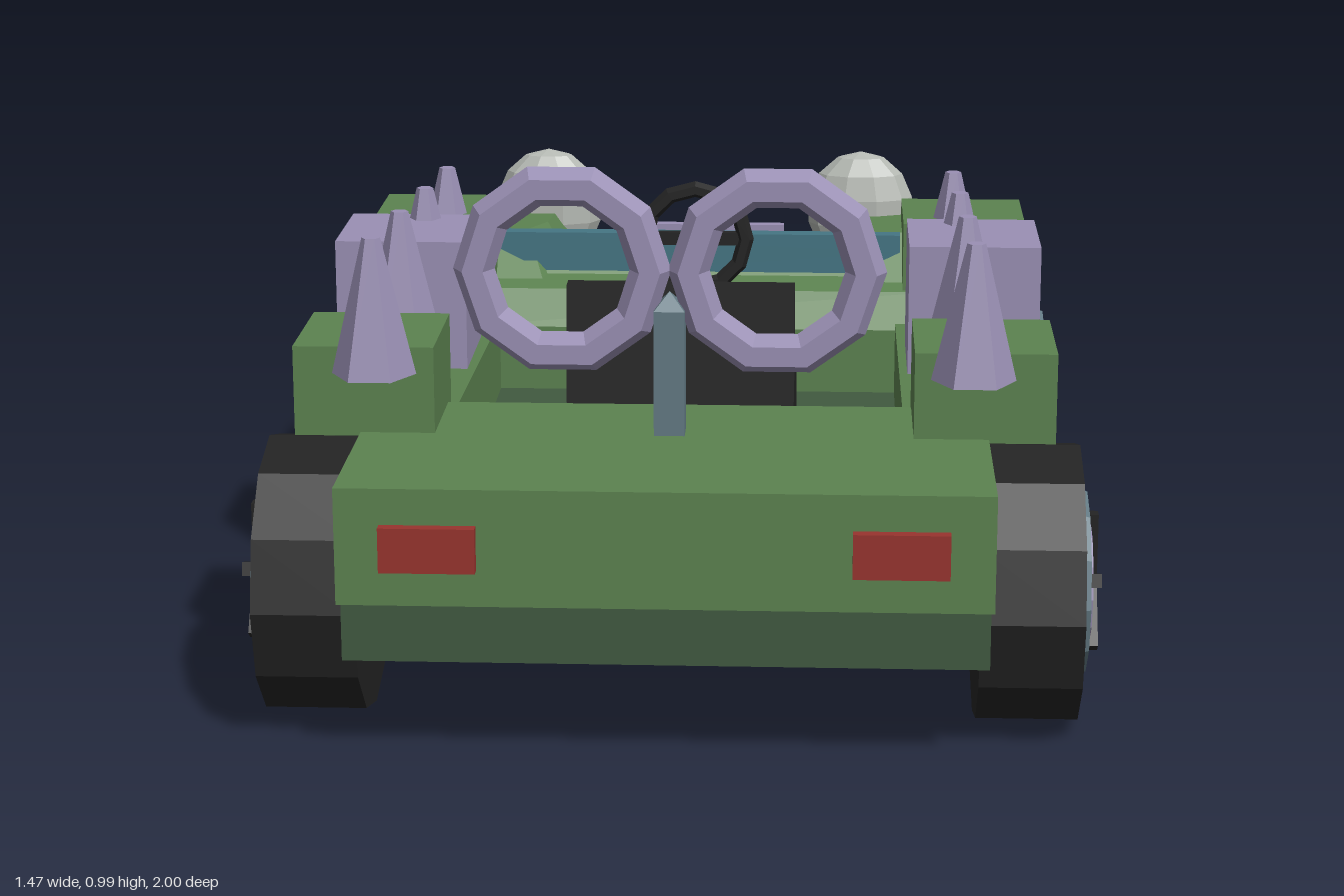
import * as THREE from 'three';
import { ConvexGeometry } from 'three/addons/geometries/ConvexGeometry.js';

const mat = (name, color) => {
  const m = new THREE.MeshStandardMaterial({ color, flatShading: true });
  m.name = name;
  return m;
};
const green = mat('bodyGreen', 0x5c8250);
const darkGreen = mat('trayGreen', 0x415a40);
const black = mat('rubberBlack', 0x232323);
const slate = mat('slateMetal', 0x637a84);
const lilac = mat('lilacMetal', 0x9a90b4);
const white = mat('eyeWhite', 0xb4b8b2);
const blue = mat('glassBlue', 0x457684);
const red = mat('tailRed', 0x98342e);

export function createModel() {
  const root = new THREE.Group();
  root.name = 'buggy';

  const add = (name, geo, material, parent = root) => {
    const mesh = new THREE.Mesh(geo, material);
    mesh.name = name;
    parent.add(mesh);
    return mesh;
  };
  // box from its lower and upper limits on each axis
  const box = (name, material, x0, x1, y0, y1, z0, z1) =>
    add(name, new THREE.BoxGeometry(x1 - x0, y1 - y0, z1 - z0)
      .translate((x0 + x1) / 2, (y0 + y1) / 2, (z0 + z1) / 2), material);
  // side profile of [z, y] points extruded across x
  const profile = (name, material, pts, x0, x1) => {
    const shape = new THREE.Shape(pts.map(([z, y]) => new THREE.Vector2(z, y)));
    const geo = new THREE.ExtrudeGeometry(shape, { depth: x1 - x0, bevelEnabled: false });
    return add(name, geo.rotateY(-Math.PI / 2).translate(x1, 0, 0), material);
  };

  // chassis and body
  box('tray', darkGreen, -0.54, 0.54, 0.18, 0.3, -0.88, 0.96);
  box('rearDeck', green, -0.545, 0.545, 0.285, 0.487, 0.45, 0.98);
  profile('hood', green, [[-0.32, 0.29], [-0.32, 0.43], [-0.36, 0.5], [-0.43, 0.515], [-0.47, 0.56],
    [-0.6, 0.56], [-0.86, 0.5], [-0.935, 0.46], [-0.97, 0.3], [-0.9, 0.29]], -0.47, 0.47);

  // windscreen strip, wider at the top
  const glass = new THREE.Shape([[-0.3, 0.51], [0.3, 0.51], [0.41, 0.565], [0.41, 0.6], [-0.41, 0.6], [-0.41, 0.565]]
    .map(([x, y]) => new THREE.Vector2(x, y)));
  add('windscreen', new THREE.ExtrudeGeometry(glass, { depth: 0.035, bevelEnabled: false })
    .translate(0, 0, -0.47), blue);

  // bumper and nose bar
  box('bumper', slate, -0.565, 0.565, 0.22, 0.3, -1, -0.925);
  box('noseBar', lilac, -0.165, 0.165, 0.455, 0.5, -0.995, -0.97);

  // seat
  box('seatCushion', black, -0.205, 0.205, 0.3, 0.485, -0.055, 0.4);
  profile('seatBack', black, [[0.32, 0.47], [0.41, 0.47], [0.395, 0.69], [0.35, 0.69]], -0.205, 0.205);
  const pad = add('seatPad', new THREE.BoxGeometry(0.32, 0.15, 0.008), darkGreen);
  pad.position.set(0, 0.582, 0.333);
  pad.rotation.x = 0.135;

  // steering wheel and column
  add('steeringWheel', new THREE.TorusGeometry(0.1, 0.016, 6, 12), black).position.set(0, 0.635, -0.24);
  box('steeringSpoke', black, -0.1, 0.1, 0.622, 0.648, -0.25, -0.235);
  const column = add('steeringColumn', new THREE.BoxGeometry(0.025, 0.2, 0.025), slate);
  column.position.set(0, 0.555, -0.3);
  column.rotation.x = 0.6;

  // square post with a short pointed tip, holding the twin rings
  const post = [new THREE.Vector3(0, 0.775, 0.772)];
  for (const x of [-0.026, 0.026])
    for (const y of [0.53, 0.745])
      for (const z of [0.746, 0.798]) post.push(new THREE.Vector3(x, y, z));
  add('ringPost', new ConvexGeometry(post), slate);

  // fender outline in [x, z] and its stacked [height, scale] levels
  const fenderOutline = [[0.61, -0.58], [0.585, -0.75], [0.5, -0.915], [0.38, -0.915],
    [0.27, -0.8], [0.235, -0.65], [0.25, -0.5], [0.31, -0.38], [0.55, -0.38]];
  const fenderLevels = [[0.36, 0.85], [0.43, 1], [0.49, 0.98], [0.595, 0.58]];
  // spike [z, base height]
  const spikes = [[0.675, 0.6], [0.305, 0.565], [-0.065, 0.53], [-0.43, 0.495]];

  for (const s of [1, -1]) {
    const side = s > 0 ? 'left' : 'right';
    const sideBox = (name, m, x0, x1, ...r) =>
      box(side + name, m, Math.min(s * x0, s * x1), Math.max(s * x0, s * x1), ...r);

    profile(side + 'Sill', green, [[0.46, 0.285], [0.46, 0.478], [-0.37, 0.44], [-0.86, 0.42], [-0.88, 0.285]],
      s > 0 ? 0.4 : -0.55, s > 0 ? 0.55 : -0.4);

    // bulging front fender
    const pts = fenderLevels.flatMap(([y, k]) => fenderOutline.map(([x, z]) =>
      new THREE.Vector3(s * (0.42 + (x - 0.42) * k), y, -0.64 + (z + 0.64) * k)));
    add(side + 'Fender', new ConvexGeometry(pts), green);

    // blocks above the wheels and beside the cabin
    sideBox('FrontBlock', green, 0.415, 0.66, 0.395, 0.64, -0.61, -0.367);
    sideBox('RearBlock', green, 0.415, 0.66, 0.395, 0.64, 0.407, 0.65);
    sideBox('MetalCube', lilac, 0.415, 0.66, 0.465, 0.71, -0.1, 0.142);

    // lamps
    sideBox('Headlamp', white, 0.31, 0.47, 0.35, 0.42, -1, -0.945);
    sideBox('TailLamp', red, 0.31, 0.47, 0.348, 0.425, 0.975, 1);

    // spikes
    for (const [z, y] of spikes)
      add(side + 'Spike', new THREE.CylinderGeometry(0.016, 0.073, 0.24, 6)
        .rotateY(Math.PI / 6).translate(s * 0.515, y + 0.12, z), lilac);

    // eyes
    add(side + 'Eye', new THREE.SphereGeometry(1, 10, 7).scale(0.112, 0.125, 0.062)
      .translate(s * 0.33, 0.598, -0.695), white);
    add(side + 'Pupil', new THREE.SphereGeometry(1, 8, 6).scale(0.046, 0.054, 0.035)
      .translate(s * 0.335, 0.622, -0.748), black);

    // ring
    add(side + 'Ring', new THREE.TorusGeometry(0.148, 0.035, 6, 10)
      .translate(s * 0.18, 0.812, 0.775), lilac);

    // wheels
    for (const z of [0.675, -0.6]) {
      const wheel = new THREE.Group();
      wheel.name = side + (z < 0 ? 'FrontWheel' : 'RearWheel');
      wheel.position.set(s * 0.6125, 0.2435, z);
      wheel.rotation.y = s > 0 ? 0 : Math.PI;
      root.add(wheel);
      const disc = (name, m, r0, r1, x0, x1) =>
        add(name, new THREE.CylinderGeometry(r1, r0, x1 - x0, 12).rotateZ(-Math.PI / 2)
          .translate((x0 + x1) / 2, 0, 0), m, wheel);
      disc('tyre', black, 0.2435, 0.2435, -0.0875, 0.0875);
      disc('rim', slate, 0.168, 0.16, 0.08, 0.102);
      disc('hub', lilac, 0.112, 0.108, 0.1, 0.109);
      for (let i = 0; i < 5; i++)
        add('spoke', new THREE.BoxGeometry(0.022, 0.122, 0.024).translate(0.111, 0.061, 0)
          .rotateX(i * Math.PI * 2 / 5), black, wheel);
    }
  }
  return root;
}
